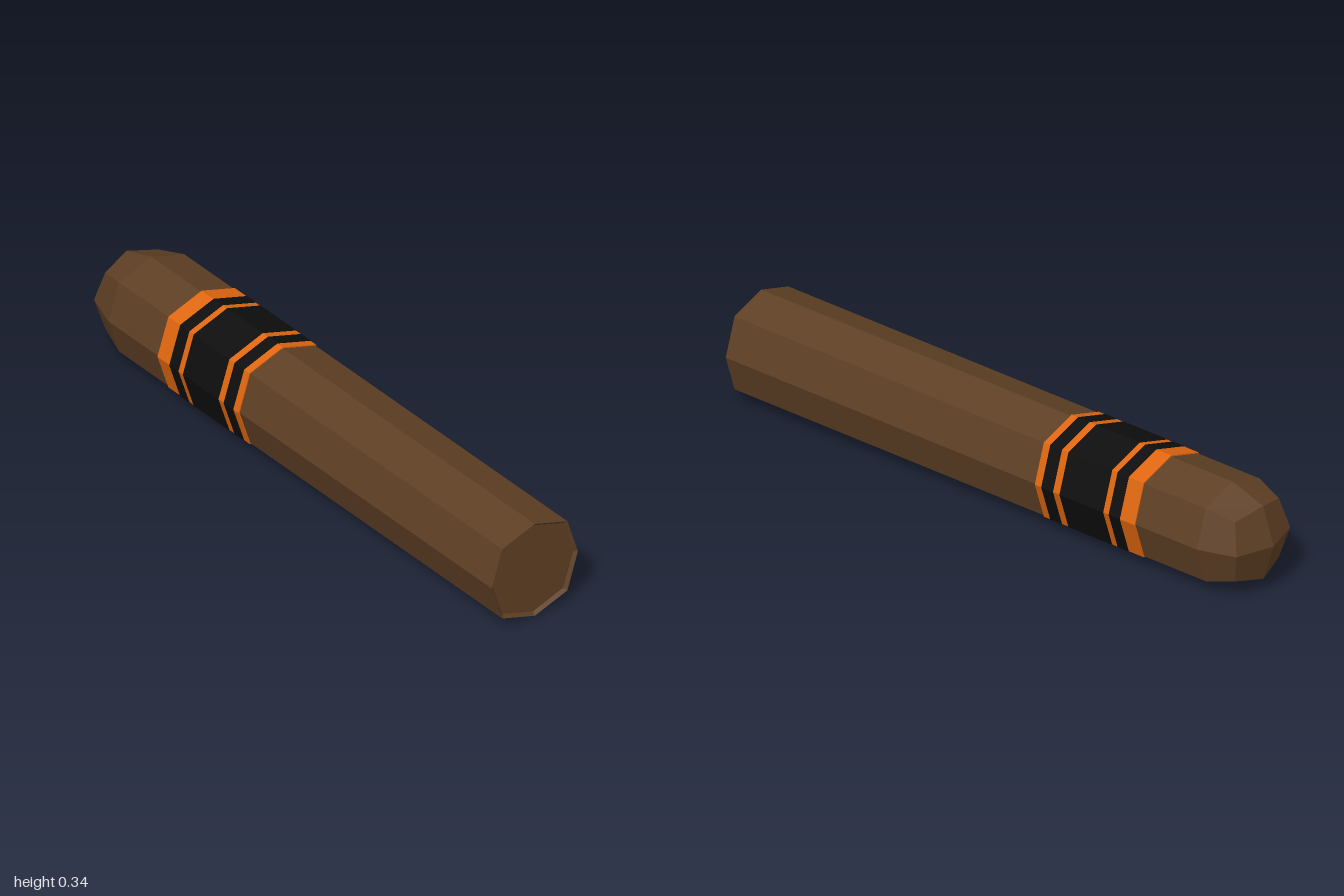
import * as THREE from 'three';

const brown = new THREE.MeshStandardMaterial({ color: 0x5e3f24, flatShading: true, name: 'brown leaf' });
const orange = new THREE.MeshStandardMaterial({ color: 0xdf660f, flatShading: true, name: 'orange band' });
const black = new THREE.MeshStandardMaterial({ color: 0x0d0d0d, flatShading: true, name: 'black band' });

const AXIS_Y = 0.168;

// Eight-sided loft along -z. Ring: [radius on the axes, x = y offset on the diagonals, axis z, diagonal z]
function loft(rings) {
  const corner = ([r, d, za, zd = za], j) => {
    const a = (j % 8) * Math.PI / 4;
    const odd = j % 2 === 1;
    const len = odd ? d * Math.SQRT2 : r;
    return [Math.cos(a) * len, Math.sin(a) * len, odd ? zd : za];
  };
  const pos = [];
  for (let i = 0; i < rings.length - 1; i++) {
    for (let j = 0; j < 8; j++) {
      const a = corner(rings[i], j), b = corner(rings[i], j + 1);
      const c = corner(rings[i + 1], j), d = corner(rings[i + 1], j + 1);
      if (rings[i + 1][0] > 0) pos.push(...a, ...c, ...d);
      if (rings[i][0] > 0) pos.push(...a, ...d, ...b);
    }
  }
  const geo = new THREE.BufferGeometry();
  geo.setAttribute('position', new THREE.Float32BufferAttribute(pos, 3));
  geo.computeVertexNormals();
  return geo;
}

export function createModel() {
  const group = new THREE.Group();
  group.name = 'cigar';
  const add = (name, geo, mat) => {
    const mesh = new THREE.Mesh(geo, mat);
    mesh.name = name;
    mesh.position.y = AXIS_Y;
    group.add(mesh);
  };

  // Cut end with a shallow recess
  add('cutEnd', loft([[0, 0, 0.99], [0.153, 0.115, 0.99], [0.163, 0.123, 1]]), brown);

  // Long straight body
  add('body', loft([[0.163, 0.123, 1], [0.163, 0.123, -0.84]]), brown);

  // Faceted rounded tip
  add('roundedTip', loft([
    [0.163, 0.123, -0.84],
    [0.123, 0.1, -0.96, -0.935],
    [0, 0, -1],
  ]), brown);

  // Paper band: alternating orange and black stripes
  const cuts = [-0.21, -0.236, -0.281, -0.307, -0.477, -0.499, -0.542, -0.6];
  for (let i = 0; i < cuts.length - 1; i++) {
    const dark = i % 2 === 1;
    const [r, d] = dark ? [0.168, 0.1265] : [0.167, 0.1255];
    const z0 = cuts[i], z1 = cuts[i + 1];
    add((dark ? 'blackStripe' : 'orangeStripe') + (i + 1),
      loft([[0.162, 0.122, z0], [r, d, z0], [r, d, z1], [0.162, 0.122, z1]]),
      dark ? black : orange);
  }
  return group;
}
